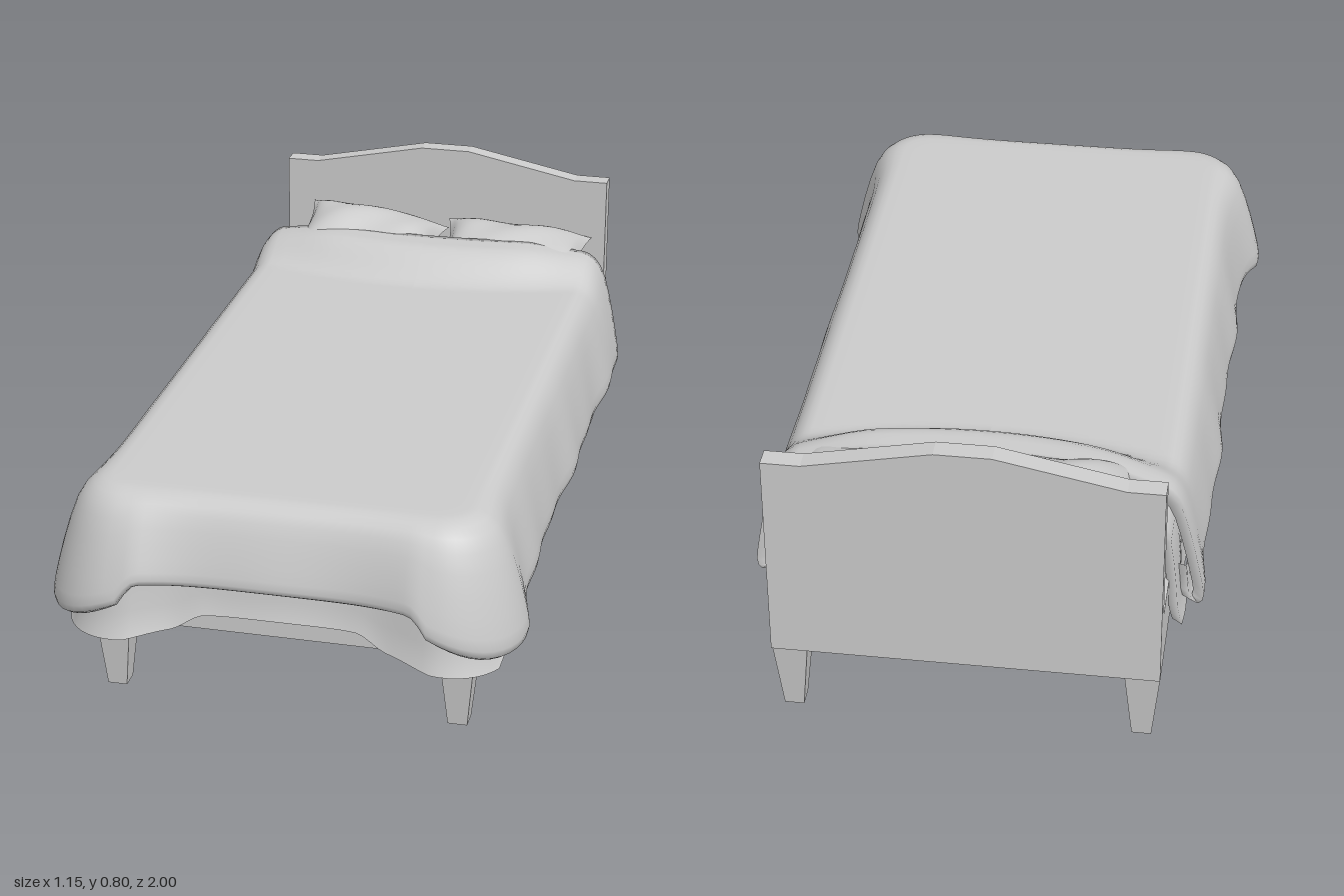
import * as THREE from 'three';
import { RoundedBoxGeometry } from 'three/addons/geometries/RoundedBoxGeometry.js';

const CX = -0.0125; // centre line of the bed
const hard = new THREE.MeshStandardMaterial({ color: 0xcccccc, flatShading: true });
const soft = new THREE.MeshStandardMaterial({ color: 0xcccccc, side: THREE.DoubleSide });
const { smoothstep, lerp } = THREE.MathUtils;

function add(group, name, geometry, material, x = 0, y = 0, z = 0) {
  const mesh = new THREE.Mesh(geometry, material);
  mesh.name = name;
  mesh.position.set(x, y, z);
  group.add(mesh);
  return mesh;
}

// Smooth surface over an nu x nv grid of points f(i, j)
function gridGeometry(nu, nv, f) {
  const pos = [], index = [];
  for (let j = 0; j < nv; j++) for (let i = 0; i < nu; i++) pos.push(...f(i, j));
  for (let j = 0; j < nv - 1; j++) for (let i = 0; i < nu - 1; i++) {
    const a = j * nu + i, b = a + 1, c = a + nu, d = c + 1;
    index.push(a, b, c, b, d, c);
  }
  const g = new THREE.BufferGeometry();
  g.setAttribute('position', new THREE.Float32BufferAttribute(pos, 3));
  g.setIndex(index);
  g.computeVertexNormals();
  return g;
}

// U-shaped path round the bed: left side, foot, right side, with outward normals
function bedOutline(half, head, foot, r) {
  const left = [];
  for (let i = 0; i < 70; i++) left.push([half, lerp(head, foot - r, i / 70), 1, 0]);
  for (let i = 0; i < 12; i++) {
    const a = (i / 12) * Math.PI / 2, c = Math.cos(a), s = Math.sin(a);
    left.push([half - r + r * c, foot - r + r * s, c, s]);
  }
  for (let i = 0; i < 20; i++) left.push([(half - r) * (1 - i / 20), foot, 0, 1]);
  const right = left.map(([x, z, nx, nz]) => [-x, z, -nx, nz]).reverse();
  return [...left, [0, foot, 0, 1], ...right];
}

// Cloth lying on the bed: flat top rings, then a hanging profile of [reach, drop] pairs
function drape({ half, head, foot, top, reach, flare, hem, profile, fold, wave }) {
  const path = bedOutline(half, head, foot, 0.06), TOP = 12;
  const point = (k, j) => {
    const [px, pz, nx, nz] = path[k];
    const dist = Math.hypot(Math.abs(px) - half, pz - foot);
    const corner = Math.exp(-dist * dist / 0.022);
    let x = px, z = pz, y = top, drop = 0;
    if (j < TOP) {
      const s = j / TOP;
      x = px * s;
      if (pz > 0.5) z = 0.5 + (pz - 0.5) * s;
    } else {
      const [r, p] = profile[j - TOP];
      const ripple = wave * p * (Math.sin(pz * 11 + px * 5) + 0.6 * Math.sin(px * 17 + pz * 23 + 1));
      const out = r * (reach * (1 + flare * corner) + ripple);
      x += nx * out;
      z += nz * out;
      y = lerp(top, hem(px, pz, corner) + ripple * 0.5, p);
      drop = p;
    }
    // head edge bows towards the foot in the middle
    z += 0.05 * Math.max(0, 1 - (x / half) ** 2) * smoothstep(-z, 0.5, 0.8);
    // turned-back roll near the pillows
    const line = 0.53 + 0.4 * Math.min(x * x, 0.2);
    y += fold * smoothstep(-z, line, line + 0.13) * (1 - drop) * (1 - 0.45 * smoothstep(Math.abs(x), 0.25, 0.5));
    return [x, y, z, drop];
  };
  const n = path.length;
  // one extra column at each end turns the head edge under
  return gridGeometry(n + 2, TOP + profile.length, (i, j) => {
    const k = Math.min(Math.max(i - 1, 0), n - 1);
    const [x, y, z, drop] = point(k, j);
    return i === 0 || i === n + 1 ? [x * 0.95, y - 0.03 * (1 - drop), z + 0.02] : [x, y, z];
  });
}

// Plump pillow pinched at its four corners
function pillowGeometry(w, h, d, phase) {
  return gridGeometry(33, 41, (i, j) => {
    const u = i / 16 - 1, a = -(j / 40) * Math.PI * 2;
    const v = Math.cos(a), s = Math.sin(a);
    const puff = Math.pow(Math.max(0, 1 - u ** 4), 0.65) * (1 + 0.07 * Math.sin(5 * u + 3 * v + phase));
    return [
      u * w * (1 - 0.09 * (1 - v * v)),
      h * puff * s * Math.pow(Math.abs(s), 0.3) + 0.012 * u * v,
      v * d * (1 - 0.13 * (1 - u * u)),
    ];
  });
}

// Square leg tapering towards the floor
function legGeometry() {
  const g = new THREE.CylinderGeometry(0.085 / Math.SQRT2, 0.047 / Math.SQRT2, 0.19, 4, 1);
  return g.rotateY(Math.PI / 4);
}

export function createModel() {
  const bed = new THREE.Group();
  bed.name = 'bed';

  // Headboard with a raised, flat-topped crest
  const board = new THREE.Shape([
    [-0.4625, 0.19], [0.4625, 0.19], [0.4625, 0.733], [0.37, 0.733],
    [0.065, 0.795], [-0.07, 0.795], [-0.375, 0.733], [-0.4625, 0.733],
  ].map(([x, y]) => new THREE.Vector2(x, y)));
  add(bed, 'headboard', new THREE.ExtrudeGeometry(board, { depth: 0.05, bevelEnabled: false }), hard, CX, 0, -1);

  // Frame and legs
  add(bed, 'bedFrame', new THREE.BoxGeometry(0.925, 0.155, 1.82), hard, CX, 0.2675, -0.04);
  for (const side of [-1, 1]) for (const z of [0.825, -0.947]) {
    add(bed, z > 0 ? 'frontLeg' : 'backLeg', legGeometry(), hard, CX + side * 0.42, 0.095, z);
  }

  // Mattress
  add(bed, 'mattress', new RoundedBoxGeometry(0.885, 0.155, 1.79, 4, 0.035), soft, CX, 0.42, -0.05);

  // Pillows, slightly tilted and turned
  const leftPillow = add(bed, 'leftPillow', pillowGeometry(0.205, 0.062, 0.135, 1), soft, 0.215, 0.567, -0.805);
  leftPillow.rotation.set(0.12, 0.05, -0.03);
  const rightPillow = add(bed, 'rightPillow', pillowGeometry(0.2, 0.07, 0.13, 3), soft, -0.2, 0.575, -0.805);
  rightPillow.rotation.set(0.15, -0.03, -0.06);

  // Sheet showing below the blanket
  add(bed, 'sheet', drape({
    half: 0.43, head: -0.83, foot: 0.835, top: 0.505, reach: 0.058, flare: 0.9, fold: 0, wave: 0.006,
    hem: (x, z, c) => {
      const base = z > 0.8 ? lerp(0.245, 0.215, smoothstep(Math.abs(x), 0.18, 0.26)) : 0.225 + 0.02 * smoothstep(z, -0.3, 0.7);
      return base - 0.045 * c;
    },
    profile: [[0, 0], [0.3, 0.03], [0.6, 0.12], [0.75, 0.35], [0.85, 0.6], [0.9, 0.8], [1, 0.93], [1.08, 1]],
  }), soft, CX);

  // Thick blanket with a rolled hem, flared over the foot corners
  add(bed, 'blanket', drape({
    half: 0.43, head: -0.785, foot: 0.84, top: 0.54, reach: 0.107, flare: 0.45, fold: 0.075, wave: 0.006,
    hem: (x, z, c) => {
      const side = 0.255 - 0.03 * c;
      const end = lerp(0.335, 0.215, smoothstep(Math.abs(x), 0.32, 0.43));
      return lerp(side, end, smoothstep(z, 0.72, 0.84));
    },
    profile: [[0, 0], [0.15, 0.01], [0.3, 0.04], [0.45, 0.1], [0.58, 0.2], [0.7, 0.35], [0.81, 0.52],
      [0.9, 0.68], [0.97, 0.82], [1, 0.91], [0.97, 0.97], [0.88, 1], [0.76, 0.98], [0.68, 0.9], [0.62, 0.65]],
  }), soft, CX);

  return bed;
}
